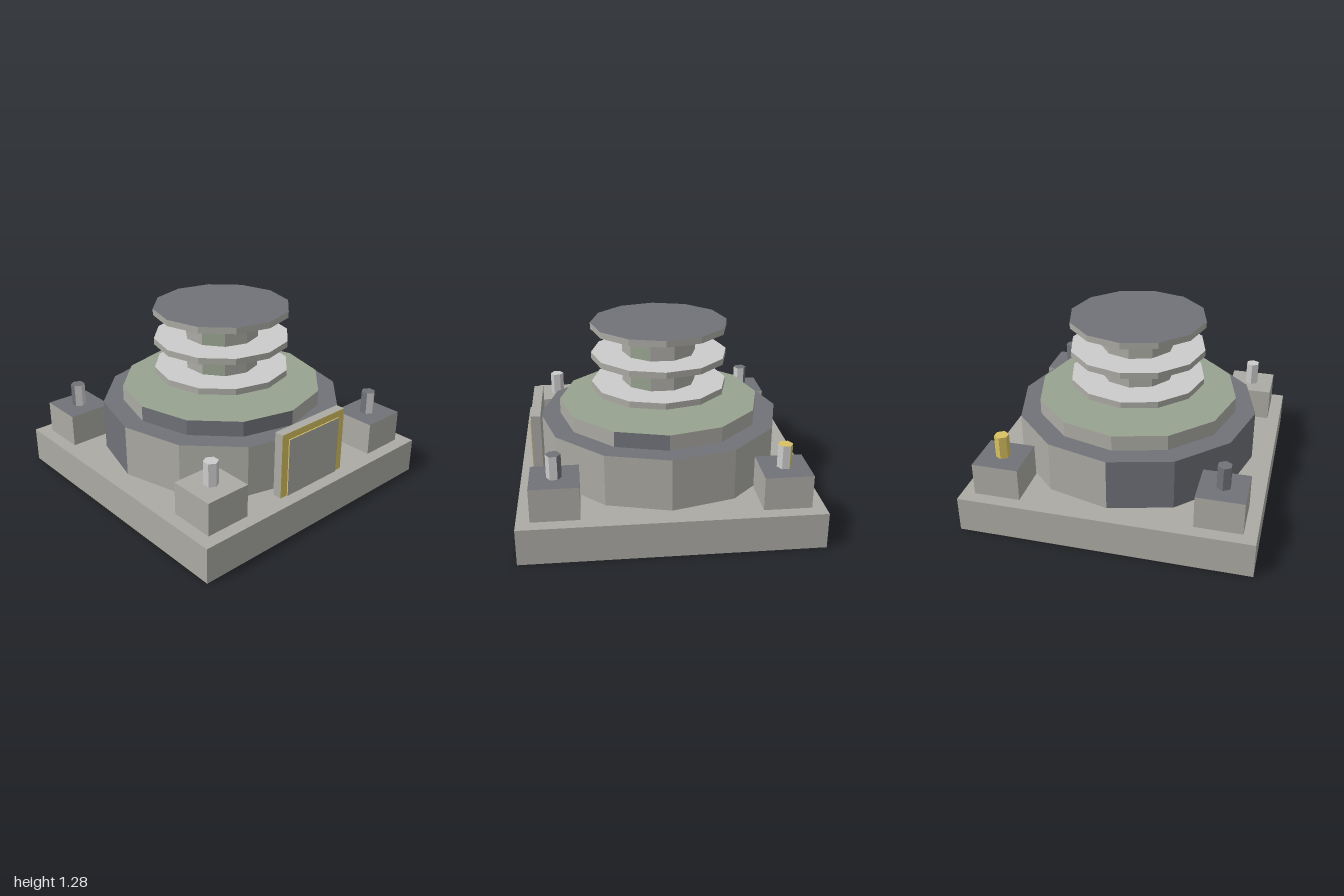
import * as THREE from 'three';

const paint = (color) => new THREE.MeshStandardMaterial({ color, flatShading: true });

export function createModel() {
  const model = new THREE.Group();
  const stone = paint(0xabaaa4), slate = paint(0x707278), green = paint(0x98a290);
  const yellow = paint(0xd8c262), light = paint(0xcccccc);

  function add(name, geometry, material, x, y, z) {
    const mesh = new THREE.Mesh(geometry, material);
    mesh.name = name;
    mesh.position.set(x, y, z);
    model.add(mesh);
    return mesh;
  }

  // Box given by its size, bottom height and centre; sides, top and front can differ
  function block(name, [w, h, d], [x, y, z], side, top = side, front = side) {
    const mats = [side, side, top, side, front, side];
    return add(name, new THREE.BoxGeometry(w, h, d), mats, x, y + h / 2, z);
  }

  // Prism between two heights; the facets listed in altFacets use the alt material
  function prism(name, radius, sides, y0, y1, { side, top = side, bottom = side, alt = side, altFacets = [] }, x = 0, z = 0) {
    const geometry = new THREE.CylinderGeometry(radius, radius, y1 - y0, sides);
    const caps = geometry.groups.slice(1);
    geometry.clearGroups();
    for (let i = 0; i < sides; i++) geometry.addGroup(i * 6, 6, altFacets.includes(i) ? 3 : 0);
    for (const c of caps) geometry.addGroup(c.start, c.count, c.materialIndex);
    return add(name, geometry, [side, top, bottom, alt], x, (y0 + y1) / 2, z);
  }

  // Square plinth
  block('base', [2, 0.25, 2], [0, 0, 0], stone);

  // Stepped drum
  prism('drum', 0.855, 12, 0.25, 0.61, { side: stone, top: slate, alt: slate, altFacets: [6, 7, 8] });
  prism('upperRing', 0.712, 12, 0.61, 0.718, { side: stone, top: green, alt: slate, altFacets: [2, 9, 10, 11] });

  // Column with its three plates
  prism('column', 0.26, 10, 0.718, 1.25, { side: stone, alt: green, altFacets: [1, 8] });
  [0.8, 1.017, 1.232].forEach((y, i) => {
    prism('plate', 0.48, 12, y, y + 0.044, { side: stone, top: i === 2 ? slate : light, bottom: slate });
  });

  // Corner blocks with hexagonal bolts
  for (const x of [-0.75, 0.75]) {
    for (const z of [-0.75, 0.75]) {
      const pale = x < 0 && z > 0, gold = x > 0 && z < 0;
      block('cornerBlock', [0.32, 0.23, 0.32], [x, 0.25, z], stone, pale ? stone : slate);
      prism('bolt', 0.05, 6, 0.48, 0.642, {
        side: light,
        top: gold ? yellow : pale ? light : slate,
        alt: gold ? yellow : slate,
        altFacets: x < 0 !== z < 0 && !gold ? [] : [2, 3, 4],
      }, x, z);
    }
  }

  // Front door: a yellow-faced frame with a slightly raised panel
  block('doorFrame', [0.585, 0.46, 0.065], [0, 0.25, 0.873], stone, stone, yellow);
  block('doorPanel', [0.47, 0.412, 0.03], [0, 0.25, 0.899], yellow, yellow, stone);

  return model;
}
